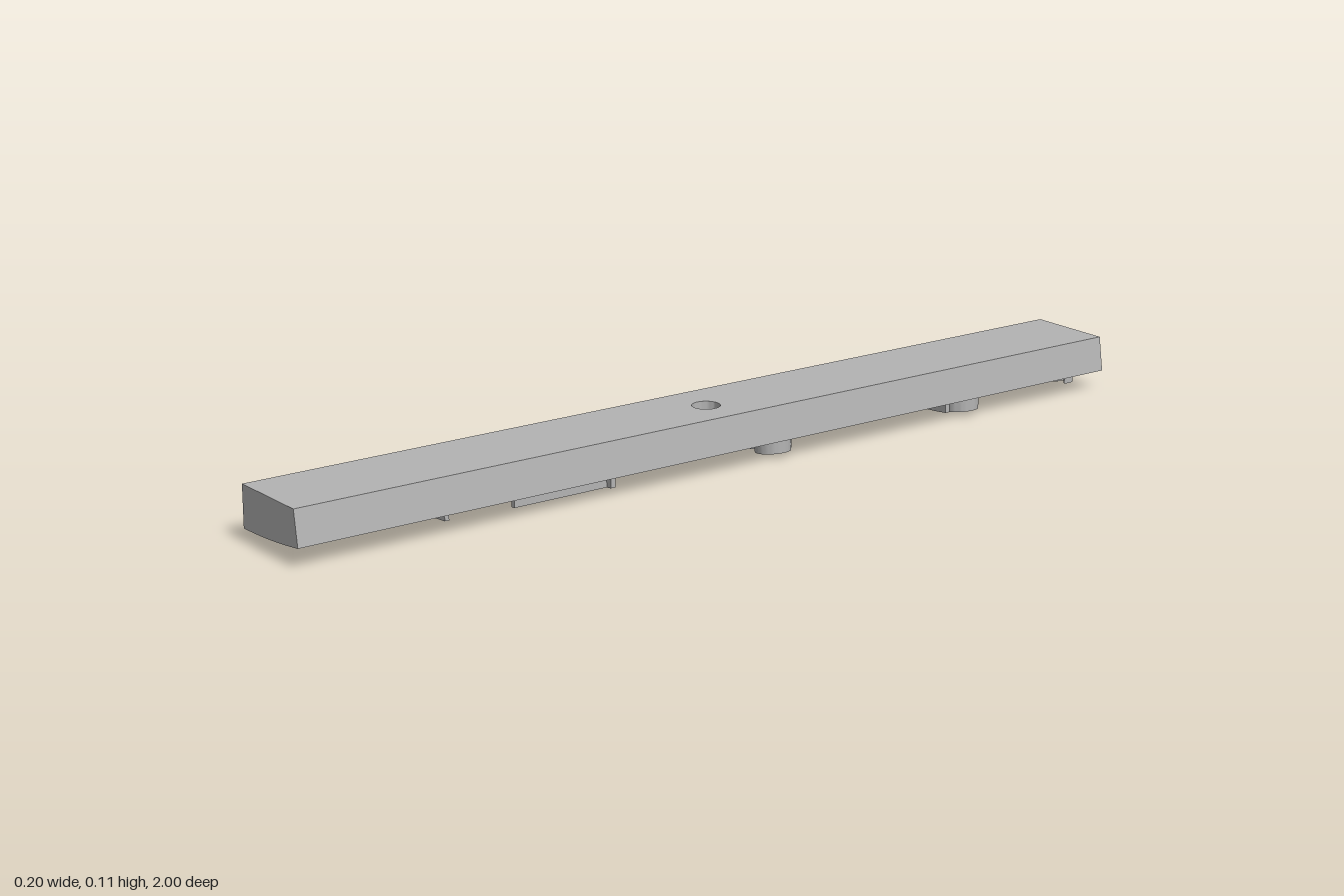
import * as THREE from 'three';
import { mergeGeometries, toCreasedNormals } from 'three/addons/utils/BufferGeometryUtils.js';

const HALF = 0.1, TOP = 0.115, SLANT = 0.011, RIDGE = 0.0275;

// Height of the gently curved underside
const under = (x) => 0.028 + 0.014 * ((x + HALF) / (2 * HALF)) ** 2;

// Move a unit-high block (y from 0 to 1) onto its lower and upper surfaces
function drape(geo, move) {
  const p = geo.attributes.position;
  for (let i = 0; i < p.count; i++) {
    const x = p.getX(i), upper = p.getY(i) > 0.5;
    const [nx, ny] = move(x, upper);
    p.setX(i, nx);
    p.setY(i, ny);
  }
  return toCreasedNormals(geo, 0.5);
}

// Plan shapes are drawn with their y along -z and extruded upward
function plan(shape) {
  const geo = new THREE.ExtrudeGeometry(shape, { depth: 1, bevelEnabled: false, curveSegments: 24 });
  return geo.rotateX(-Math.PI / 2);
}

function circlePath(x, z, r) {
  return new THREE.Path().absarc(x, -z, r, 0, Math.PI * 2, true);
}

function bodyGeometry() {
  const steps = 10, mid = 0.04;
  const ends = [1, -1].map((s) =>
    new THREE.BoxGeometry(2 * HALF, 1, 1 - mid, steps, 1, 1)
      .translate(0, 0.5, s * (1 + mid) / 2).toNonIndexed());
  // Middle section with the round through hole
  const pts = [];
  for (let i = 0; i <= steps; i++) pts.push(new THREE.Vector2(-HALF + 2 * HALF * i / steps, -mid));
  for (let i = steps; i >= 0; i--) pts.push(new THREE.Vector2(-HALF + 2 * HALF * i / steps, mid));
  const shape = new THREE.Shape(pts);
  shape.holes.push(circlePath(0, 0, 0.029));
  const geo = mergeGeometries([...ends, plan(shape)]);
  return drape(geo, (x, upper) =>
    upper ? [x > HALF - 0.001 ? x - SLANT : x, TOP] : [x, under(x)]);
}

export function createModel() {
  const group = new THREE.Group();
  const grey = new THREE.MeshStandardMaterial({ color: 0xb4b4b4 });
  grey.name = 'plainGrey';

  function add(name, geo) {
    const mesh = new THREE.Mesh(geo, grey);
    mesh.name = name;
    group.add(mesh);
  }
  const ridge = (name, shape) => add(name, drape(plan(shape), (x, upper) =>
    [x, under(x) + (upper ? 0.002 : -RIDGE)]));

  // Straight ridge between two corners on the underside
  function bar(name, x0, x1, z0, z1) {
    const pts = [];
    for (let i = 0; i <= 4; i++) pts.push(new THREE.Vector2(x0 + (x1 - x0) * i / 4, -z1));
    for (let i = 4; i >= 0; i--) pts.push(new THREE.Vector2(x0 + (x1 - x0) * i / 4, -z0));
    ridge(name, new THREE.Shape(pts));
  }
  // Round ridge with an open centre
  function ring(name, x, z, r, wall = 0.01) {
    const shape = new THREE.Shape().absarc(x, -z, r, 0, Math.PI * 2, false);
    shape.holes.push(circlePath(x, z, r - wall));
    ridge(name, shape);
  }

  add('body', bodyGeometry());

  // Long ridges near the right edge
  for (const [z0, z1] of [[-0.73, -0.645], [-0.415, -0.25], [-0.22, -0.125], [0.08, 0.25]])
    bar('edgeRidge', -0.074, -0.062, z0, z1);

  // Ridge near the left edge with a short return at its end
  bar('leftRidge', 0.04, 0.051, 0.27, 0.497);
  bar('leftRidgeReturn', 0.04, 0.065, 0.27, 0.281);

  // Cross ridges
  bar('crossRidge', -0.05, 0.035, 0.635, 0.645);
  bar('crossRidge', -0.085, 0.04, 0.32, 0.332);
  bar('crossRidge', -0.068, 0.06, -0.597, -0.586);

  // Round ridges: x, z, radius
  for (const [x, z, r] of [
    [0.053, -0.635, 0.037], [-0.01, -0.645, 0.027],
    [0.053, -0.13, 0.037], [-0.005, -0.135, 0.027],
    [-0.045, -0.045, 0.023], [-0.04, 0.037, 0.022],
    [0.012, 0.375, 0.028], [-0.049, 0.375, 0.033],
  ]) ring('roundRidge', x, z, r);

  // Open hook near the back end
  const hook = new THREE.Shape();
  hook.absarc(0.02, 0.96, 0.021, -0.6, 3.9, false);
  hook.absarc(0.02, 0.96, 0.011, 3.9, -0.6, true);
  ridge('hookRidge', hook);

  return group;
}
